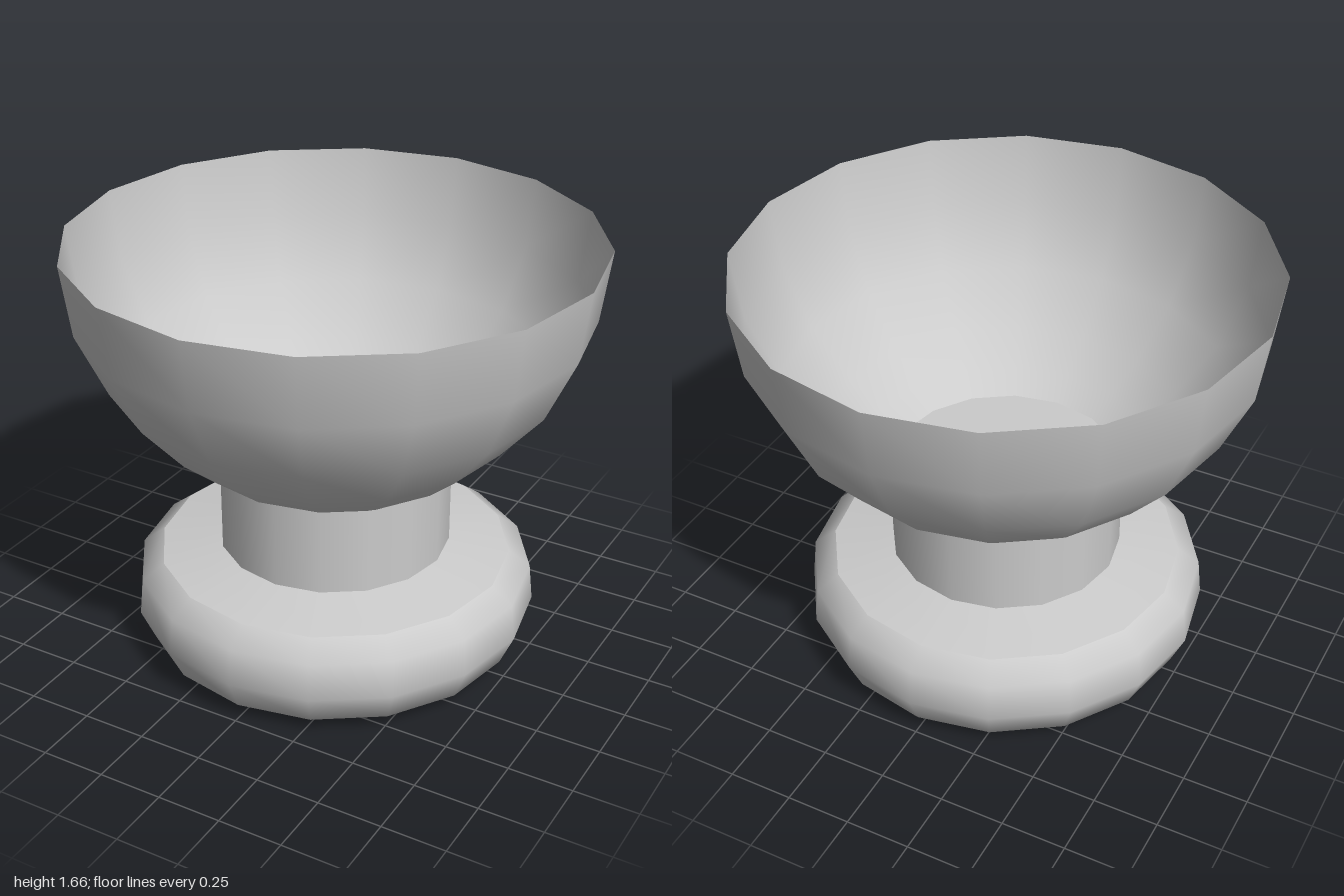
import * as THREE from 'three';

const SIDES = 16;
const material = new THREE.MeshStandardMaterial({ color: 0xcccccc, side: THREE.DoubleSide });

// Turned surface from [radius, height] points, listed from the bottom up
function turned(name, profile) {
  const points = profile.map(([r, y]) => new THREE.Vector2(r, y));
  const mesh = new THREE.Mesh(new THREE.LatheGeometry(points, SIDES), material);
  mesh.name = name;
  return mesh;
}

export function createModel() {
  const group = new THREE.Group();
  group.name = 'footedBowl';

  // Recessed disc under the foot
  group.add(turned('footUnderside', [[0, 0.05], [0.47, 0.05]]));

  // Rounded foot ring
  group.add(turned('foot', [
    [0.47, 0.05], [0.54, 0.01], [0.635, 0], [0.73, 0.06],
    [0.785, 0.185], [0.77, 0.33], [0.685, 0.395],
  ]));

  // Shallow sloping top of the foot
  group.add(turned('footTop', [[0.685, 0.395], [0.45, 0.435]]));

  // Straight stem
  group.add(turned('stem', [[0.45, 0.435], [0.45, 0.78]]));

  // Flat floor inside the bowl
  group.add(turned('bowlFloor', [[0.45, 0.78], [0, 0.78]]));

  // Thin open bowl
  group.add(turned('bowl', [
    [0.45, 0.78], [0.555, 0.845], [0.685, 0.955],
    [0.85, 1.145], [0.963, 1.39], [1, 1.665],
  ]));

  return group;
}
